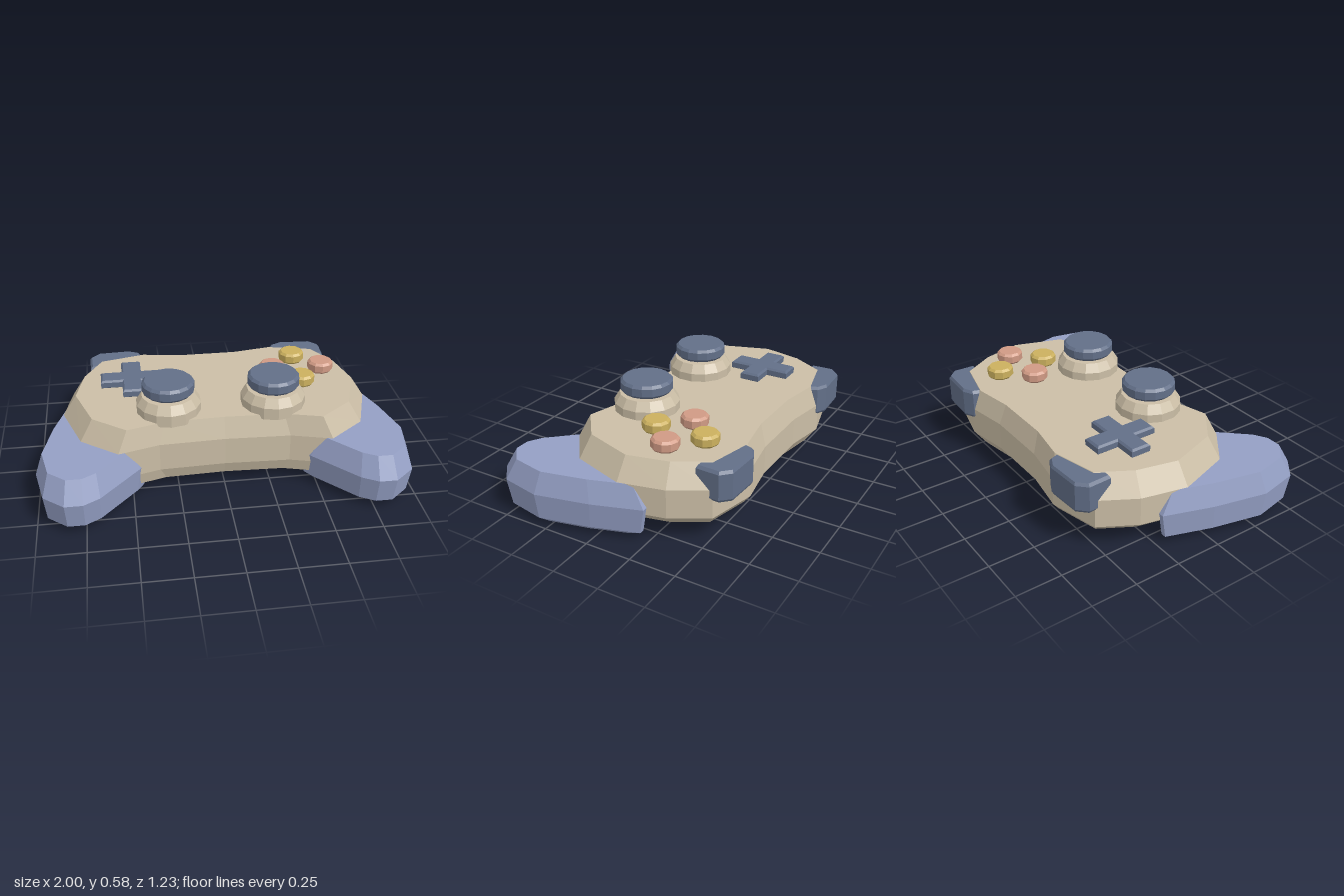
import * as THREE from 'three';

const mat = (name, color) => Object.assign(new THREE.MeshStandardMaterial({ color, flatShading: true }), { name });

// Stacks scaled copies of an outline ([x, z] points). Each layer: [y, scaleX, scaleZ, shiftZ], scaled about centre c.
function loft(outline, layers, c = [0, 0]) {
  const pts = outline.map(([x, z]) => new THREE.Vector2(x, z));
  if (THREE.ShapeUtils.area(pts) < 0) pts.reverse();
  const rings = layers.map(([y, sx, sz = sx, dz = 0]) =>
    pts.map(p => [c[0] + (p.x - c[0]) * sx, y, c[1] + (p.y - c[1]) * sz + dz]));
  const pos = [], n = pts.length;
  const tri = (...v) => v.forEach(p => pos.push(...p));
  for (let k = 0; k < rings.length - 1; k++) {
    const lo = rings[k], hi = rings[k + 1];
    for (let i = 0; i < n; i++) {
      const j = (i + 1) % n;
      tri(lo[i], hi[j], lo[j]);
      tri(lo[i], hi[i], hi[j]);
    }
  }
  const bottom = rings[0], top = rings[rings.length - 1];
  for (const [a, b, d] of THREE.ShapeUtils.triangulateShape(pts, [])) {
    tri(bottom[a], bottom[b], bottom[d]);
    tri(top[a], top[d], top[b]);
  }
  const g = new THREE.BufferGeometry();
  g.setAttribute('position', new THREE.Float32BufferAttribute(pos, 3));
  g.computeVertexNormals();
  return g;
}

const lathe = (profile, sides) =>
  new THREE.LatheGeometry(profile.map(([r, y]) => new THREE.Vector2(r, y)), sides);

export function createModel() {
  const model = new THREE.Group();
  model.name = 'gamepad';
  const tan = mat('tan shell', 0xcbbea6);
  const blue = mat('periwinkle grip', 0x949fc4);
  const slate = mat('slate controls', 0x626f88);
  const yellow = mat('yellow button', 0xcbb05e);
  const pink = mat('pink button', 0xd09a84);

  const add = (name, geometry, material, x = 0, y = 0, z = 0) => {
    const mesh = new THREE.Mesh(geometry, material);
    mesh.name = name;
    mesh.position.set(x, y, z);
    model.add(mesh);
    return mesh;
  };

  // Shell: half outline mirrored across x
  const half = [[0.18, -0.545], [0.42, -0.585], [0.69, -0.52], [0.80, -0.33], [0.855, -0.09],
    [0.76, 0.20], [0.567, 0.35], [0.35, 0.29]];
  const shell = [...half, [0, 0.277], ...half.map(([x, z]) => [-x, z]).reverse()];
  add('body', loft(shell, [[0.07, 0.91], [0.14, 1], [0.295, 1], [0.41, 0.912, 0.91, -0.012]]), tan);

  const grip = [[0.82, -0.235], [0.85, -0.235], [0.935, 0.02], [1.0, 0.305], [0.957, 0.52], [0.85, 0.61],
    [0.755, 0.61], [0.67, 0.56], [0.46, 0.33], [0.42, 0.27]];
  const trigger = [[0.70, -0.555], [0.65, -0.605], [0.46, -0.615], [0.40, -0.585], [0.385, -0.54],
    [0.46, -0.44], [0.695, -0.43]];
  const stickBase = lathe([[0, -0.02], [0.175, -0.02], [0.175, 0.045], [0.145, 0.092], [0, 0.092]], 14);
  const stickStem = new THREE.CylinderGeometry(0.09, 0.09, 0.04, 14);
  const stickCap = lathe([[0, 0.51], [0.126, 0.51], [0.14, 0.525], [0.14, 0.567], [0.126, 0.581], [0, 0.581]], 16);

  for (const s of [1, -1]) {
    const side = s > 0 ? 'left' : 'right';
    const flip = pts => pts.map(([x, z]) => [s * x, z]);
    add(side + 'Grip', loft(flip(grip), [[0, 0.74], [0.04, 0.94], [0.18, 1], [0.295, 0.84]], [s * 0.75, 0.2]), blue);
    add(side + 'Trigger', loft(flip(trigger), [[0.24, 0.93], [0.255, 1], [0.392, 1], [0.407, 0.92]], [s * 0.55, -0.52]), slate);
    // Thumbstick
    add(side + 'StickBase', stickBase, tan, s * 0.283, 0.41, 0.105);
    add(side + 'StickStem', stickStem, slate, s * 0.283, 0.505, 0.105);
    add(side + 'StickCap', stickCap, slate, s * 0.283, 0, 0.105);
  }

  // Direction pad: bevelled plus shape
  const w = 0.045, l = 0.163;
  const cross = new THREE.Shape([[w, l], [w, w], [l, w], [l, -w], [w, -w], [w, -l], [-w, -l], [-w, -w],
    [-l, -w], [-l, w], [-w, w], [-w, l]].map(([x, y]) => new THREE.Vector2(x, y)));
  const padGeometry = new THREE.ExtrudeGeometry(cross,
    { depth: 0.03, bevelSize: 0.01, bevelThickness: 0.01, bevelSegments: 1 });
  padGeometry.rotateX(-Math.PI / 2);
  add('directionPad', padGeometry, slate, -0.465, 0.413, -0.21);

  // Face buttons in a diamond
  const button = lathe([[0, -0.005], [0.062, 0], [0.073, 0.012], [0.073, 0.05], [0.06, 0.062], [0, 0.062]], 10);
  for (const [name, x, z, m] of [['backButton', 0.483, -0.363, yellow], ['frontButton', 0.483, -0.079, yellow],
    ['innerButton', 0.341, -0.221, pink], ['outerButton', 0.625, -0.221, pink]]) {
    add(name, button, m, x, 0.41, z);
  }
  return model;
}
